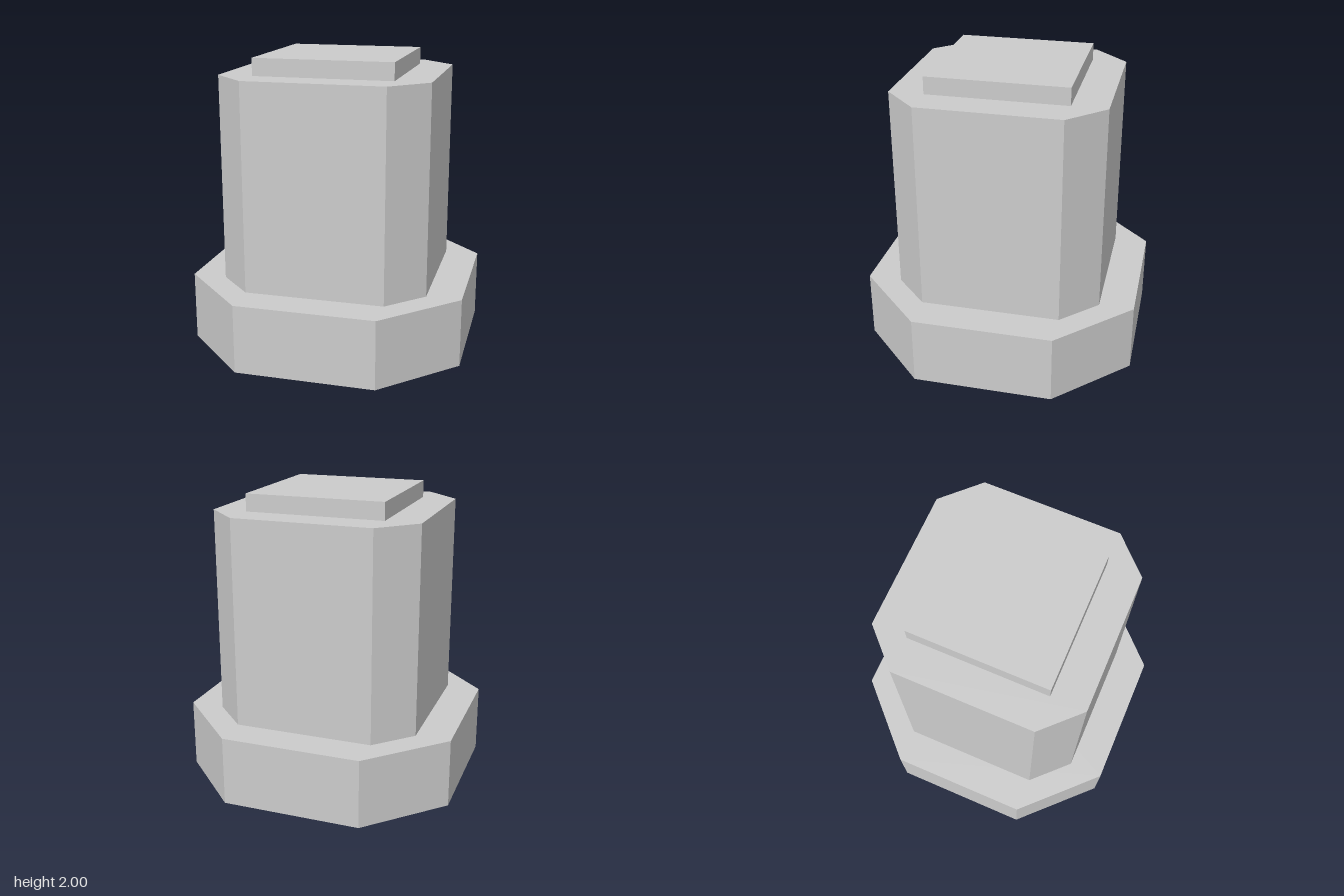
import * as THREE from 'three';

const U = 2 / 17; // modular unit: the model is 17 units tall
const FLAT = 4 * U; // half length of every straight side

const material = new THREE.MeshStandardMaterial({ color: 0xcccccc, flatShading: true });

// Upright prism over a square of half width r with corners cut back to FLAT
function chamferedPrism(name, r, y0, y1) {
  const corners = [
    [r, -FLAT], [r, FLAT], [FLAT, r], [-FLAT, r],
    [-r, FLAT], [-r, -FLAT], [-FLAT, -r], [FLAT, -r],
  ].map(([x, y]) => new THREE.Vector2(x, y));
  const geometry = new THREE.ExtrudeGeometry(new THREE.Shape(corners), {
    depth: y1 - y0,
    bevelEnabled: false,
  });
  geometry.rotateX(-Math.PI / 2);
  const mesh = new THREE.Mesh(geometry, material);
  mesh.position.y = y0;
  mesh.name = name;
  return mesh;
}

export function createModel() {
  const model = new THREE.Group();
  model.name = 'pedestal';

  // Wide octagonal foot and the narrower chamfered column on it
  model.add(chamferedPrism('base', 8 * U, 0, 4 * U));
  model.add(chamferedPrism('column', 6 * U, 4 * U, 16 * U));

  // Thin square slab on top
  const cap = new THREE.Mesh(new THREE.BoxGeometry(2 * FLAT, U, 2 * FLAT), material);
  cap.position.y = 16.5 * U;
  cap.name = 'cap';
  model.add(cap);

  return model;
}
